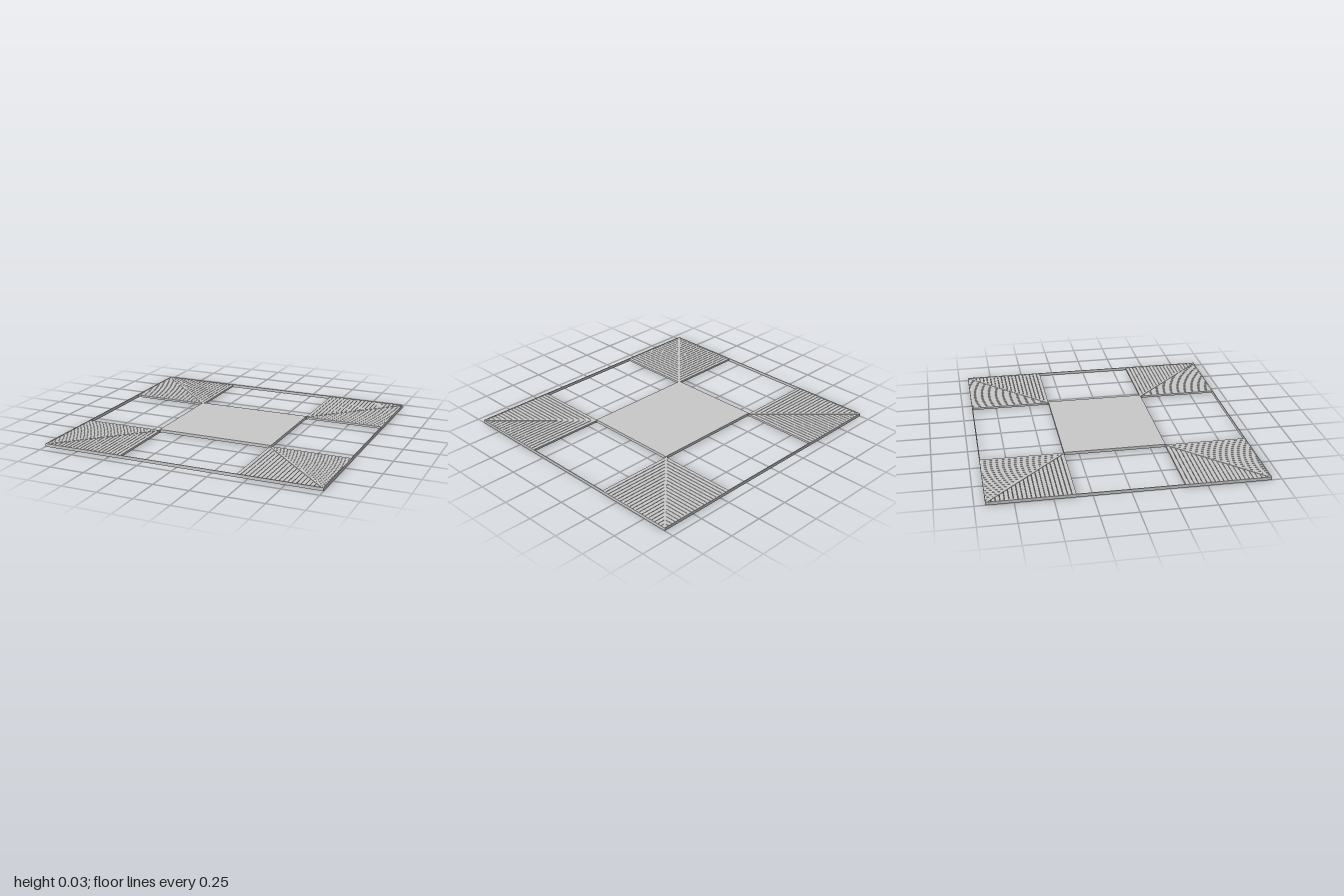
import * as THREE from 'three';

export function createModel() {
  const model = new THREE.Group();
  model.name = 'louverPanel';
  const metal = new THREE.MeshStandardMaterial({ color: 0xc8c8c8 });
  metal.name = 'light grey metal';

  const X = 1, Z = 0.93;          // outer half sizes
  const PX = 0.425, PZ = 0.355;   // centre plate half sizes
  const H = 0.022, WALL = 0.006;

  // Horizontal slab from an outline of [x, z] points between two heights
  function slab(name, points, y0, y1, parent) {
    const shape = new THREE.Shape(points.map(([x, z]) => new THREE.Vector2(x, -z)));
    const geo = new THREE.ExtrudeGeometry(shape, { depth: y1 - y0, bevelEnabled: false });
    geo.rotateX(-Math.PI / 2).translate(0, y0, 0);
    const mesh = new THREE.Mesh(geo, metal);
    mesh.name = name;
    parent.add(mesh);
  }

  function box(name, w, h, d, x, y, z) {
    const mesh = new THREE.Mesh(new THREE.BoxGeometry(w, h, d), metal);
    mesh.name = name;
    mesh.position.set(x, y, z);
    model.add(mesh);
  }

  // Centre plate
  box('centrePlate', PX * 2, 0.021, PZ * 2, 0, 0.0145, 0);

  // Thin outer frame
  for (const s of [-1, 1]) {
    box('frameLong', X * 2, H, WALL, 0, H / 2, s * (Z - WALL / 2));
    box('frameShort', WALL, H, (Z - WALL) * 2, s * (X - WALL / 2), H / 2, 0);
  }

  // Four corner grilles: mitred slats either side of a diagonal bar
  const COUNT = 20, FILL = 0.9;
  const ix = PX - 0.005, iz = PZ;
  const ox = X - WALL, oz = Z - WALL;
  for (const sx of [-1, 1]) {
    for (const sz of [-1, 1]) {
      const corner = new THREE.Group();
      corner.name = 'cornerGrille';
      const at = (t) => [ix + (ox - ix) * t, iz + (oz - iz) * t];
      const place = (pts) => pts.map(([x, z]) => [sx * x, sz * z]);
      for (let i = 0; i < COUNT; i++) {
        const [xa, za] = at(i / COUNT);
        const [xb, zb] = at((i + FILL) / COUNT);
        slab('slatAlongZ', place([[xa, za], [xb, zb], [xb, oz], [xa, oz]]), 0.004, 0.019, corner);
        slab('slatAlongX', place([[xa, za], [ox, za], [ox, zb], [xb, zb]]), 0.004, 0.019, corner);
      }
      const e = 0.005;
      slab('diagonalBar', place([
        [ix + e, iz - e], [ox + e, oz - e], [ox - e, oz + e], [ix - e, iz + e],
      ]), 0.001, 0.0215, corner);
      model.add(corner);
    }
  }
  return model;
}
